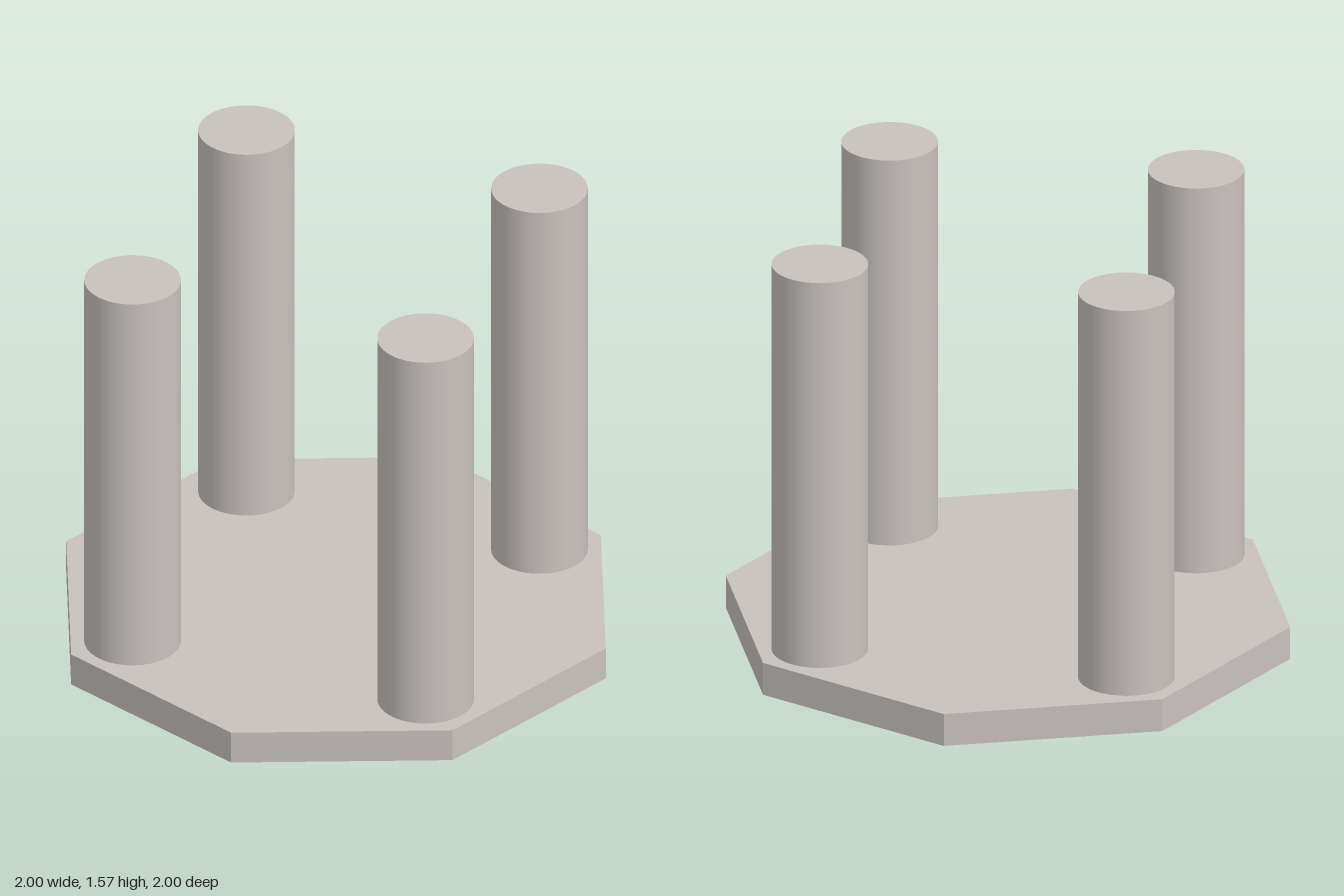
import * as THREE from 'three';

const BASE_HEIGHT = 0.12;
const TOTAL_HEIGHT = 1.57;
const POST_RADIUS = 0.167;
const POST_OFFSET = 0.768;

export function createModel() {
  const model = new THREE.Group();
  model.name = 'fourPostStand';

  const stone = new THREE.MeshStandardMaterial({ color: 0xc8c2be });
  stone.name = 'warm grey';

  // Octagonal base plate, corners on the axes, with flat-faced sides
  const baseGeometry = new THREE.CylinderGeometry(1, 1, BASE_HEIGHT, 8).toNonIndexed();
  baseGeometry.computeVertexNormals();
  const base = new THREE.Mesh(baseGeometry, stone);
  base.name = 'basePlate';
  base.position.y = BASE_HEIGHT / 2;
  model.add(base);

  // Four round posts, one near each axis corner
  const postHeight = TOTAL_HEIGHT - BASE_HEIGHT;
  const postGeometry = new THREE.CylinderGeometry(POST_RADIUS, POST_RADIUS, postHeight, 64);
  ['frontPost', 'leftPost', 'backPost', 'rightPost'].forEach((name, i) => {
    const angle = (i * Math.PI) / 2;
    const post = new THREE.Mesh(postGeometry, stone);
    post.name = name;
    post.position.set(
      Math.sin(angle) * POST_OFFSET,
      BASE_HEIGHT + postHeight / 2,
      Math.cos(angle) * POST_OFFSET
    );
    model.add(post);
  });

  return model;
}
